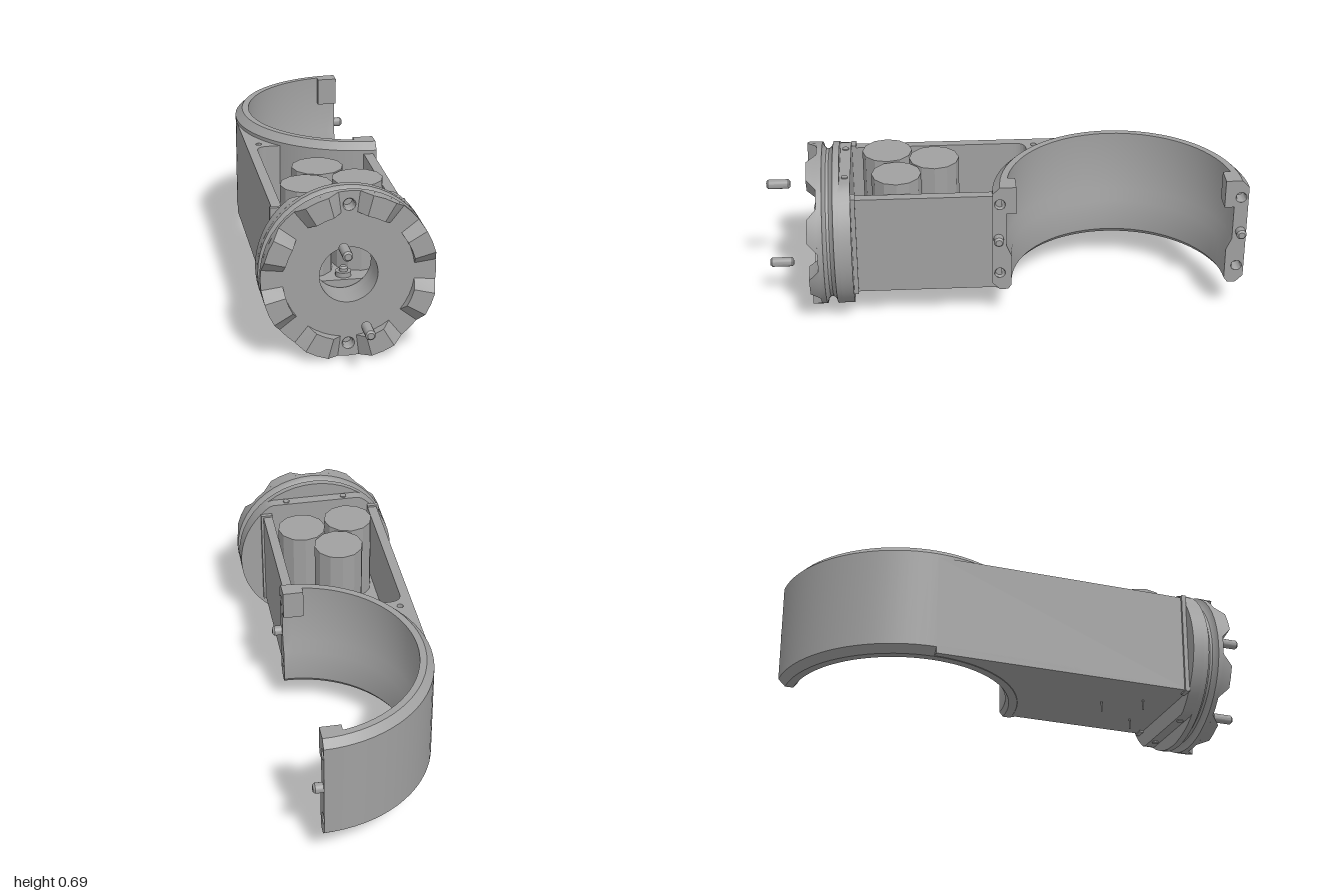
import * as THREE from 'three';
import { toCreasedNormals } from 'three/addons/utils/BufferGeometryUtils.js';

const HUB_Y = 0.345, RING_X = 0.255, RING_Z = -0.47;
const rad = THREE.MathUtils.degToRad;

export function createModel() {
  const model = new THREE.Group();
  const grey = new THREE.MeshStandardMaterial({ color: 0xa0a0a0, side: THREE.DoubleSide });
  grey.name = 'grey metal';

  const add = (name, geo, x = 0, y = 0, z = 0, crease = 0.6) => {
    const mesh = new THREE.Mesh(toCreasedNormals(geo, crease), grey);
    mesh.name = name;
    mesh.position.set(x, y, z);
    model.add(mesh);
    return mesh;
  };
  const vec = (list) => list.map(([a, b]) => new THREE.Vector2(a, b));
  // Box given by its limits
  const block = (name, x0, x1, y0, y1, z0, z1) =>
    add(name, new THREE.BoxGeometry(x1 - x0, y1 - y0, z1 - z0), (x0 + x1) / 2, (y0 + y1) / 2, (z0 + z1) / 2);
  const circle = (x, y, r) => new THREE.Path().absarc(x, y, r, 0, Math.PI * 2, true);
  // Chamfered pin centred on its axis (along y)
  const pinGeo = (r, len) => new THREE.LatheGeometry(vec([
    [0, -len / 2], [r * 0.65, -len / 2], [r, -len / 2 + r * 0.4],
    [r, len / 2 - r * 0.4], [r * 0.65, len / 2], [0, len / 2]]), 16);
  // Blind hole running from y = 0 down to -depth
  const boreGeo = (r, depth) => new THREE.LatheGeometry(vec([[0, -depth], [r * 0.8, -depth], [r * 0.8, -0.008], [r, 0]]), 20);
  // Plan outline (x, z) raised between two heights
  const raise = (shape, y0, y1) => new THREE.ExtrudeGeometry(shape,
    { depth: y1 - y0, bevelEnabled: false, curveSegments: 32 }).rotateX(-Math.PI / 2).translate(0, y0, 0);
  // Points along the ring in plan, as (x, -z)
  const ringArc = (r, a0, a1, n = 24) => Array.from({ length: n + 1 }, (_, i) => {
    const a = a0 + (a1 - a0) * i / n;
    return new THREE.Vector2(RING_X + r * Math.cos(a), -RING_Z + r * Math.sin(a));
  });

  // Half ring clamp
  const profile = [[0.465, 0.14], [0.45, 0.16], [0.45, 0.30], [0.472, 0.35], [0.472, 0.622],
    [0.5, 0.622], [0.53, 0.592], [0.53, 0.17], [0.5, 0.14]];
  add('clampRing', new THREE.LatheGeometry(vec([...profile, profile[0]]), 40, Math.PI, Math.PI), RING_X, 0, RING_Z);
  for (const s of [1, -1]) {
    const face = new THREE.Shape(vec(profile));
    for (const y of [0.545, 0.22]) face.holes.push(circle(0.499, y, 0.023));
    add('clampEndFace', new THREE.ShapeGeometry(face, 20).rotateY(-s * Math.PI / 2), RING_X, 0, RING_Z);
    for (const y of [0.545, 0.22])
      add('clampBoltHole', boreGeo(0.023, 0.06).rotateZ(-Math.PI / 2), RING_X, y, RING_Z + s * 0.499);
    add('clampDowel', pinGeo(0.021, 0.09).rotateZ(Math.PI / 2), RING_X - 0.005, 0.385, RING_Z + s * 0.505);
    const a = RING_Z + s * 0.432, b = RING_Z + s * 0.472;
    block('clampTab', 0.17, RING_X, 0.5, 0.622, Math.min(a, b), Math.max(a, b));
  }

  // Housing floor, with its end following the ring
  const floor = new THREE.Shape([...vec([[-0.275, -0.64], [0.24, -0.64], [0.24, 0]]),
    ...ringArc(0.5, -Math.PI / 2, -Math.PI), ...vec([[-0.275, 0.47]])]);
  add('housingFloor', raise(floor, 0.142, 0.175));

  // Left wall and the web joining it to the ring
  const wall = new THREE.Shape();
  wall.moveTo(-0.275, -0.64);
  wall.lineTo(-0.235, -0.64);
  wall.lineTo(-0.235, 0.06);
  wall.quadraticCurveTo(-0.235, 0.11, -0.185, 0.11);
  for (const p of ringArc(0.5, Math.PI + Math.asin(0.36 / 0.5), Math.PI, 16)) wall.lineTo(p.x, p.y);
  wall.lineTo(-0.275, 0.47);
  wall.closePath();
  wall.holes.push(circle(-0.22, 0.145, 0.013));
  add('housingRightWall', raise(wall, 0.142, 0.577));
  block('housingLeftWall', 0.2, 0.24, 0.142, 0.577, 0.02, 0.64);

  // Thickened edges where the walls meet the hub
  block('wallFoot', -0.285, -0.235, 0.135, 0.585, 0.622, 0.642);
  block('wallFoot', 0.2, 0.25, 0.135, 0.585, 0.622, 0.642);

  // Tray with pads, screws and three cells
  block('tray', -0.235, 0.2, 0.17, 0.26, 0.08, 0.632);
  block('trayPad', -0.235, -0.155, 0.26, 0.275, 0.08, 0.32);
  block('trayPad', 0.115, 0.195, 0.26, 0.275, 0.08, 0.32);
  for (const [x, z] of [[-0.05, 0.13], [0.015, 0.585]]) {
    add('trayScrew', new THREE.CylinderGeometry(0.032, 0.032, 0.02, 20), x, 0.27, z);
    add('trayScrewTip', pinGeo(0.018, 0.04), x, 0.28, z);
  }
  for (const [x, z, r] of [[-0.04, 0.29, 0.105], [-0.117, 0.487, 0.105], [0.095, 0.45, 0.103]])
    add('cell', new THREE.CylinderGeometry(r, r, 0.36, 12), x, 0.44, z, 0.3);
  for (const [x, z] of [[-0.04, 0.34], [-0.115, 0.5], [0.1, 0.53]])
    add('contactPin', new THREE.CylinderGeometry(0.004, 0.004, 0.05, 8), x, 0.122, z);

  // Hub back flange, flattened at top and bottom
  const flange = new THREE.Shape(Array.from({ length: 96 }, (_, i) => {
    const a = i / 96 * Math.PI * 2;
    return new THREE.Vector2(0.345 * Math.cos(a), THREE.MathUtils.clamp(0.345 * Math.sin(a), -0.28, 0.28));
  }));
  flange.holes.push(circle(0, 0, 0.115));
  add('hubFlange', new THREE.ExtrudeGeometry(flange, { depth: 0.05, bevelEnabled: false, curveSegments: 24 }), 0, HUB_Y, 0.64);
  for (const x of [-0.13, 0.13]) for (const s of [-1, 1])
    add('flangeScrew', new THREE.CylinderGeometry(0.014, 0.014, 0.01, 14), x, HUB_Y + s * 0.28, 0.663);

  // Hub disc with a rim groove, bored through the middle
  add('hubDisc', new THREE.LatheGeometry(vec([[0.115, 0.78], [0.115, 0.685], [0.345, 0.685], [0.345, 0.712],
    [0.326, 0.718], [0.316, 0.73], [0.316, 0.742], [0.326, 0.752], [0.345, 0.757], [0.345, 0.78]]), 48)
    .rotateX(Math.PI / 2), 0, HUB_Y, 0);
  const face = new THREE.Shape().absarc(0, 0, 0.345, 0, Math.PI * 2, false);
  face.holes.push(circle(0, 0, 0.115), circle(0, 0.29, 0.025), circle(0, -0.29, 0.025));
  add('hubFace', new THREE.ShapeGeometry(face, 24), 0, HUB_Y, 0.78);
  for (const s of [1, -1])
    add('hubBoltHole', boreGeo(0.025, 0.05).rotateX(Math.PI / 2), 0, HUB_Y + s * 0.29, 0.78);

  // Coupling teeth: sections swept around the rim, sloped at both ends
  const stations = [[-15.5, 0.001], [-8, 0.04], [0, 0.04], [8, 0.04], [15.5, 0.001]];
  for (let t = 0; t < 8; t++) {
    const pos = [], idx = [];
    for (const [deg, h] of stations) {
      const a = rad(22.5 + 45 * t + deg);
      for (const [r, z] of [[0.26, 0], [0.345, 0], [0.345, h], [0.26, h]])
        pos.push(r * Math.cos(a), r * Math.sin(a), z);
    }
    for (let i = 0; i < stations.length - 1; i++) for (let k = 0; k < 4; k++) {
      const a = i * 4 + k, b = i * 4 + (k + 1) % 4;
      idx.push(a, b, b + 4, a, b + 4, a + 4);
    }
    const geo = new THREE.BufferGeometry();
    geo.setAttribute('position', new THREE.Float32BufferAttribute(pos, 3));
    geo.setIndex(idx);
    // Turn the faces outward
    const order = geo.index.array;
    for (let i = 0; i < order.length; i += 3) [order[i + 1], order[i + 2]] = [order[i + 2], order[i + 1]];
    add('couplingTooth', geo, 0, HUB_Y, 0.78, 0.3);
  }

  // Loose dowels ahead of the hub
  for (const [x, y] of [[-0.045, 0.511], [0.045, 0.182]])
    add('looseDowel', pinGeo(0.02, 0.1).rotateX(Math.PI / 2), x, y, 0.95);

  return model;
}
